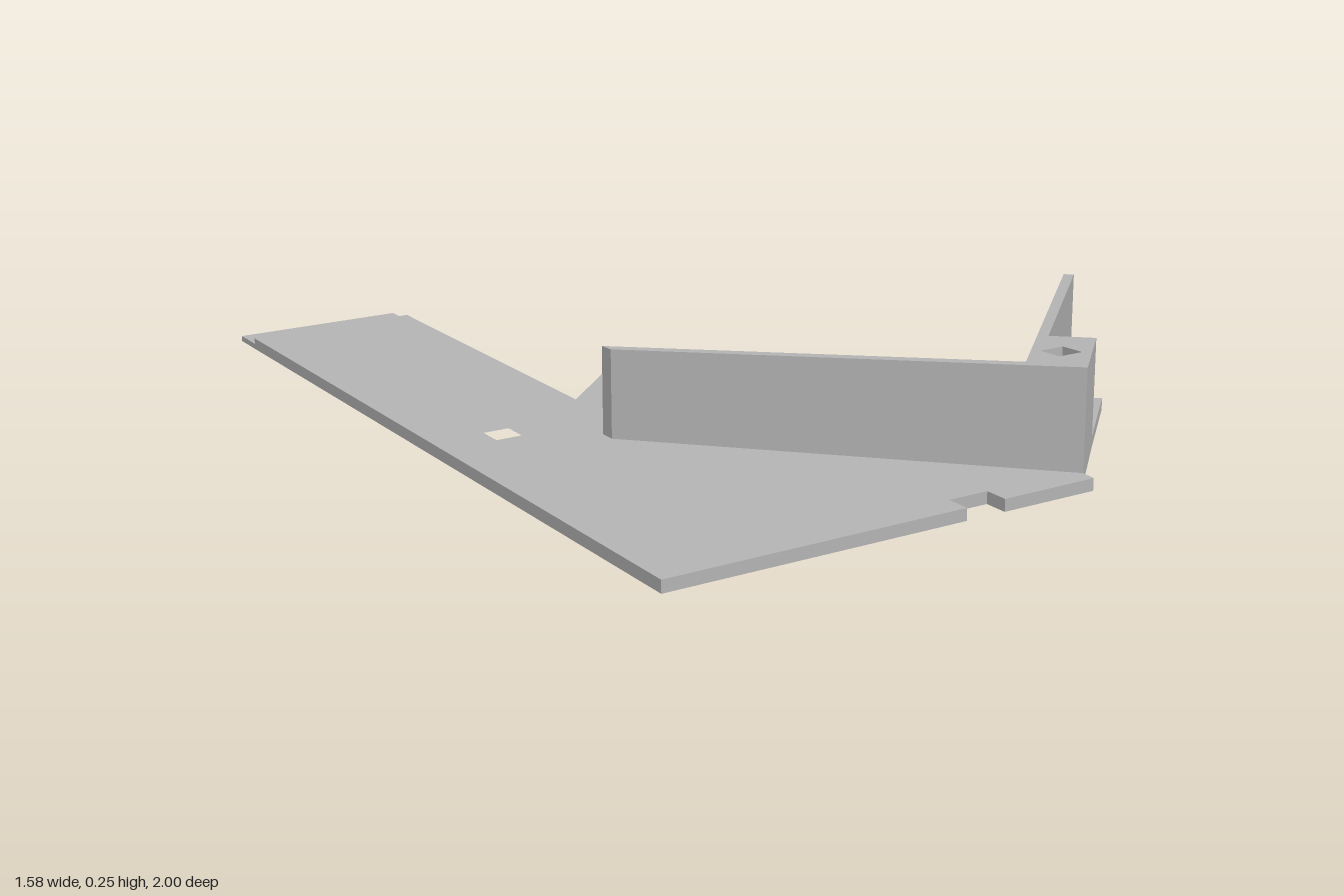
import * as THREE from 'three';

const gray = new THREE.MeshStandardMaterial({ color: 0xb4b4b4 });
gray.name = 'plain gray';

const BASE_TOP = 0.027;

// Square hole outline centred on (x, z)
function square(x, z, r = 0.03) {
  return [[x - r, z - r], [x + r, z - r], [x + r, z + r], [x - r, z + r]];
}

// Upright slab from a plan outline of [x, z] points; topAt(z) gives its upper height
function slab(name, outline, bottom, topAt, holes = []) {
  const toPoints = (list) => list.map(([x, z]) => new THREE.Vector2(x, -z));
  const shape = new THREE.Shape(toPoints(outline));
  for (const hole of holes) shape.holes.push(new THREE.Path(toPoints(hole)));
  const geometry = new THREE.ExtrudeGeometry(shape, { depth: 1, bevelEnabled: false });
  geometry.rotateX(-Math.PI / 2);
  const p = geometry.attributes.position;
  for (let i = 0; i < p.count; i++) {
    p.setY(i, p.getY(i) > 0.5 ? topAt(p.getZ(i)) : bottom);
  }
  geometry.computeVertexNormals();
  const mesh = new THREE.Mesh(geometry, gray);
  mesh.name = name;
  return mesh;
}

export function createModel() {
  const group = new THREE.Group();
  group.name = 'angledBracket';
  const cornerHole = square(0.278, 0.833);

  // Flat base with its long arm, two tabs and front notch
  group.add(slab('basePlate', [
    [-0.79, -0.915], [-0.38, -0.915], [-0.38, -0.04], [-0.18, -0.23],
    [0.145, 0.107], [-0.082, 0.327], [0.09, 0.505], [0.318, 0.285],
    [0.615, 0.595], [0.412, 0.79], [0.233, 0.965], [0.23, 1],
    [0, 1], [0, 0.945], [-0.095, 0.945], [-0.095, 1], [-0.79, 1],
  ], 0, () => BASE_TOP, [square(-0.635, 0.096), cornerHole]));

  // Thinner lip at the far end of the arm
  group.add(slab('armLip', [
    [-0.79, -1], [-0.38, -1], [-0.38, -0.915], [-0.79, -0.915],
  ], 0, () => 0.013));

  // Two thin walls meeting at the solid corner block, sloping down from the corner
  group.add(slab('cornerWalls', [
    [-0.455, 0.25], [0.233, 0.965], [0.412, 0.79], [0.345, 0.715],
    [0.79, 0.288], [0.774, 0.27], [0.165, 0.855], [-0.455, 0.213],
  ], BASE_TOP, (z) => 0.2148 + 0.0365 * z, [cornerHole]));

  return group;
}
